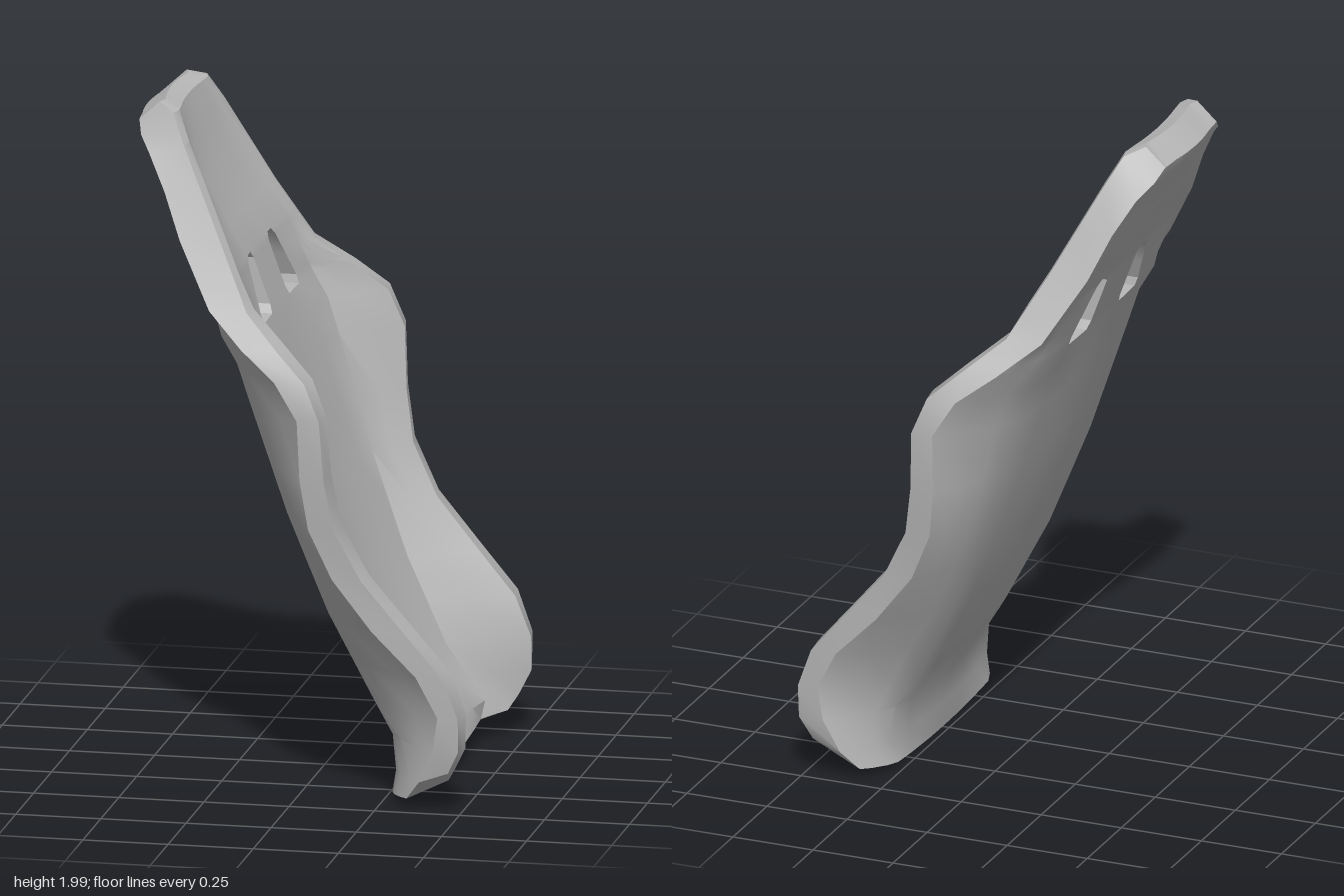
import * as THREE from 'three';
import { toCreasedNormals } from 'three/addons/utils/BufferGeometryUtils.js';

const { lerp, mapLinear, clamp } = THREE.MathUtils;

// Straight-line curve through [height, value] points
const curve = (...points) => y => {
  const i = clamp(points.findIndex(p => p[0] >= y), 1, points.length - 1);
  const [a, b] = [points[i - 1], points[i]];
  return mapLinear(y, a[0], b[0], a[1], b[1]);
};

// Shape of the shell by height
const spineX = curve([.13, .365], [.3, .26], [.55, .14], [.85, .03], [1.18, -.07],
  [1.37, -.13], [1.55, -.195], [1.77, -.32], [1.98, -.4]);
const thickness = curve([.13, .11], [.2, .08], [.7, .09], [1.37, .1], [1.98, .105]);
const flatZ = curve([.13, .36], [.3, .32], [.85, .375], [1.18, .4], [1.37, .4], [1.64, .3], [1.98, .15]);
const rimZ = curve([.13, .495], [.2, .515], [.42, .533], [.7, .545], [1, .59], [1.18, .608],
  [1.29, .6], [1.37, .555], [1.46, .475], [1.64, .385], [1.77, .335], [1.9, .285], [1.98, .235]);
const rimX = curve([.13, .475], [.2, .51], [.3, .51], [.42, .465], [.55, .355], [.7, .23], [.85, .155],
  [1, .13], [1.18, .12], [1.29, .075], [1.37, -.015], [1.46, -.12], [1.64, -.215], [1.98, -.385]);
const rimWidth = curve([.13, .045], [.42, .083], [1.18, .063], [1.37, .075], [1.55, .035], [1.98, .035]);
const rimDepth = curve([.13, .095], [.3, .07], [.55, .105], [.85, .085], [1.18, .075],
  [1.37, .115], [1.64, .13], [1.98, .105]);

// Ring heights; the belt slots run between two of them
const heights = [1.98, 1.9, 1.77, 1.64, 1.55, 1.53, 1.46, 1.395, 1.37,
  1.29, 1.18, 1, .85, .7, .55, .42, .3, .2, .13];
const SLOT_TOP = 1.55, SLOT_BOTTOM = 1.37;
const RING = 26, FRONT = 13;
const slotColumns = [4, 7];
const opposite = j => RING - 1 - j;

// Closed ring: front from left to right, then back from right to left
function makeRing(y) {
  const flat = flatZ(y), rim = rimZ(y), crest = rim - rimWidth(y);
  const front = spineX(y), back = front - thickness(y);
  const rimFront = rimX(y), rimBack = rimFront - rimDepth(y);
  const bow = y < 1.35 ? .03 : .01;

  // Slot sides, pinched at both ends to cut the corners
  const pinch = y === SLOT_TOP || y === SLOT_BOTTOM ? .015 : 0;
  const slant = mapLinear(clamp(y, SLOT_BOTTOM, SLOT_TOP), SLOT_BOTTOM, SLOT_TOP, .256, .175);
  const inner = [flat, Math.min(slant - pinch, .75 * flat), Math.min(.105 + pinch, .45 * flat), 0];
  const panel = x => inner.map(z => [z, x + bow * (z / flat) ** 2]);

  const frontHalf = [
    [rim, rimFront - .01], [crest, rimFront],
    [lerp(flat, crest, .5), lerp(front + bow, rimFront, .45)],
    ...panel(front),
  ];
  const backHalf = [
    [rim, rimBack],
    [lerp(flat, rim, .75), lerp(back + bow, rimBack, .65)],
    [lerp(flat, rim, .35), lerp(back + bow, rimBack, .24)],
    ...panel(back),
  ];
  const mirror = (half, h) => [
    ...half.map(([z, x]) => [x, h, z]),
    ...half.slice(0, -1).reverse().map(([z, x]) => [x, h, -z]),
  ];
  const backY = y - .5 * Math.max(0, y - 1.84) - .43 * Math.max(0, .2 - y);
  return [...mirror(frontHalf, y), ...mirror(backHalf, backY).reverse()];
}

// Bevelled lips that finish the head and the lower edge
const topLip = ring => ring.map(([x, y, z], j) =>
  j < FRONT ? [x - .05, y + .02, z * .8] : [x - .015, y + .035, z * .8]);

const bottomLip = ring => ring.map(([x, y, z], j) => {
  const t = (z / ring[0][2]) ** 2;
  const [dx, dy] = j < FRONT ? [.025, -.065] : [.015, -.09];
  return [x + dx - .06 * t, y + dy + .03 * t, z * .92];
});

function makeShell() {
  const body = heights.map(makeRing);
  const rings = [topLip(body[0]), ...body, bottomLip(body[body.length - 1])];
  const last = rings.length - 1;
  const slotTop = heights.indexOf(SLOT_TOP) + 1;
  const slotBottom = heights.indexOf(SLOT_BOTTOM) + 1;
  const pos = [];
  const quad = (a, b, c, d) => pos.push(...a, ...b, ...c, ...a, ...c, ...d);

  // Skin, leaving the two belt slots open
  const open = slotColumns.flatMap(j => [j, opposite(j) - 1]);
  for (let i = 0; i < last; i++) {
    for (let j = 0; j < RING; j++) {
      if (i >= slotTop && i < slotBottom && open.includes(j)) continue;
      const k = (j + 1) % RING;
      quad(rings[i][j], rings[i + 1][j], rings[i + 1][k], rings[i][k]);
    }
  }

  // Strips joining the front and back skins at the top and bottom
  const across = (i, j, up) => {
    const r = rings[i];
    const q = [r[j], r[j + 1], r[opposite(j + 1)], r[opposite(j)]];
    quad(...(up ? q : q.reverse()));
  };
  for (let j = 0; j < FRONT - 1; j++) {
    across(0, j, true);
    across(last, j, false);
  }

  // Slot walls
  for (const j of slotColumns) {
    across(slotTop, j, false);
    across(slotBottom, j, true);
    for (let i = slotTop; i < slotBottom; i++) {
      const a = rings[i], b = rings[i + 1], k = j + 1;
      quad(a[j], b[j], b[opposite(j)], a[opposite(j)]);
      quad(a[opposite(k)], b[opposite(k)], b[k], a[k]);
    }
  }

  const geometry = new THREE.BufferGeometry();
  geometry.setAttribute('position', new THREE.Float32BufferAttribute(pos, 3));
  return toCreasedNormals(geometry, Math.PI / 6);
}

export function createModel() {
  const group = new THREE.Group();
  group.name = 'bucketSeat';
  const grey = new THREE.MeshStandardMaterial({ color: 0xb8b8b8 });
  grey.name = 'shellGrey';
  const shell = new THREE.Mesh(makeShell(), grey);
  shell.name = 'seatShell';
  group.add(shell);
  return group;
}
